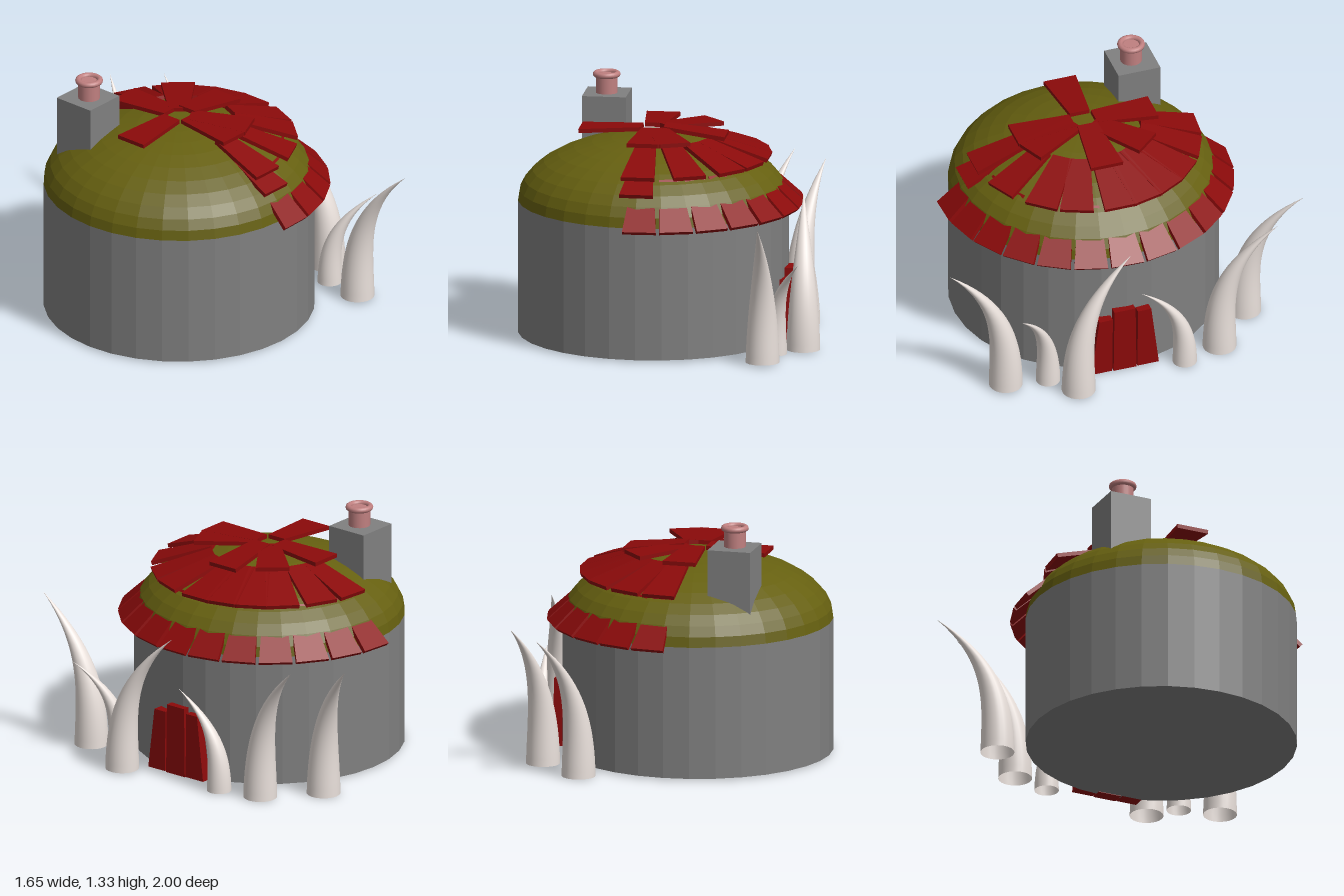
import * as THREE from 'three';

const mat = (color, extra = {}) => new THREE.MeshStandardMaterial({ color, ...extra });

// Wedge-shaped slab: narrow at -x, wide at +x
function slabGeometry(length, thickness, narrow, wide) {
  const g = new THREE.BoxGeometry(length, thickness, wide);
  const p = g.attributes.position;
  for (let i = 0; i < p.count; i++) {
    if (p.getX(i) < 0) p.setZ(i, p.getZ(i) * narrow / wide);
  }
  g.computeVertexNormals();
  return g;
}

// Curved horn: stacked round sections that shrink and lean outwards
function hornGeometry(radius, height, dx, dz) {
  const g = new THREE.CylinderGeometry(1, 1, 1, 24, 20, true);
  const p = g.attributes.position;
  for (let i = 0; i < p.count; i++) {
    const t = p.getY(i) + 0.5;
    const r = radius * Math.max(1 - Math.pow(t, 1.6), 0.01);
    const lean = t * t * t;
    p.setXYZ(i, p.getX(i) * r + dx * lean, t * height, p.getZ(i) * r + dz * lean);
  }
  g.computeVertexNormals();
  // Match the normals along the seam
  const n = g.attributes.normal;
  for (let row = 0; row <= 20; row++) {
    const a = row * 25, b = a + 24;
    const v = new THREE.Vector3().fromBufferAttribute(n, a)
      .add(new THREE.Vector3().fromBufferAttribute(n, b)).normalize();
    n.setXYZ(a, v.x, v.y, v.z);
    n.setXYZ(b, v.x, v.y, v.z);
  }
  return g;
}

export function createModel() {
  const model = new THREE.Group();
  model.name = 'hut';
  const stone = mat(0x808080, { flatShading: true });
  const olive = mat(0x666010, { flatShading: true });
  const red = mat(0x8b0a0a, { flatShading: true });
  const clay = mat(0xc08080);
  const bone = mat(0xe8dfda, { side: THREE.DoubleSide });

  function add(name, geometry, material, x, y, z, parent = model) {
    const m = new THREE.Mesh(geometry, material);
    m.name = name;
    m.position.set(x, y, z);
    parent.add(m);
    return m;
  }

  // Round wall and domed roof
  const cx = -0.11, cz = 0.02, R = 0.72;
  add('wall', new THREE.CylinderGeometry(R, R, 0.715, 32), stone, cx, 0.3725, cz);
  const dome = add('dome', new THREE.SphereGeometry(R, 32, 10, 0, Math.PI * 2, 0, Math.PI / 2), olive, cx, 0.73, cz);
  dome.scale.y = 0.35 / R;

  // Chimney with a rimmed pot
  add('chimney', new THREE.BoxGeometry(0.235, 0.415, 0.235), stone, -0.412, 1.0075, -0.357);
  add('chimneyPot', new THREE.CylinderGeometry(0.058, 0.058, 0.11, 24), clay, -0.412, 1.26, -0.35);
  const rim = add('potRim', new THREE.TorusGeometry(0.058, 0.016, 10, 28), clay, -0.412, 1.315, -0.35);
  rim.rotation.x = Math.PI / 2;

  // Roof tiles: [inner radius, inner y, outer radius, outer y, angles in degrees]
  const rows = [
    [0.06, 1.118, 0.39, 1.105, [180, -90, 90, -42, 66]],
    [0.06, 1.125, 0.39, 1.085, [0]],
    [0.30, 1.075, 0.62, 0.975, [-85, -66, -46, -30, -15, 0, 22, 40, 64, 90]],
    [0.40, 1.01, 0.68, 0.895, [90]],
    [0.54, 0.95, 0.79, 0.72, Array.from({ length: 13 }, (_, i) => -85 + i * 14.4)],
  ];
  const tiles = new THREE.Group();
  tiles.name = 'roofTiles';
  tiles.position.set(cx, 0, cz);
  model.add(tiles);
  for (const [r0, y0, r1, y1, angles] of rows) {
    const g = slabGeometry(Math.hypot(r1 - r0, y1 - y0), 0.022, 0.11, 0.18);
    for (const angle of angles) {
      const arm = new THREE.Group();
      arm.rotation.y = -THREE.MathUtils.degToRad(angle);
      tiles.add(arm);
      const tile = add('roofTile', g, red, (r0 + r1) / 2, (y0 + y1) / 2, 0, arm);
      tile.rotation.z = Math.atan2(y1 - y0, r1 - r0);
    }
  }

  // Door planks: corners as [z, y], extruded along x
  const planks = [
    [[0.23, 0.015], [0.116, 0.015], [0.112, 0.35], [0.188, 0.35]],
    [[0.108, 0.012], [-0.02, 0.012], [-0.015, 0.395], [0.103, 0.395]],
    [[-0.026, 0.015], [-0.145, 0.015], [-0.103, 0.372], [-0.028, 0.372]],
  ];
  for (const corners of planks) {
    const shape = new THREE.Shape(corners.map(([z, y]) => new THREE.Vector2(-z, y)));
    const g = new THREE.ExtrudeGeometry(shape, { depth: 0.07, bevelEnabled: false });
    add('doorPlank', g, red, 0.575, 0, 0).rotation.y = Math.PI / 2;
  }

  // Horns: [base x, base z, tip x, tip z, base radius, base y, tip y]
  const horns = [
    [0.345, -0.725, 0.505, -1.0, 0.09, 0.005, 0.79],
    [0.60, -0.50, 0.70, -0.79, 0.09, 0.005, 0.79],
    [0.675, -0.28, 0.705, -0.03, 0.065, 0.01, 0.53],
    [0.735, 0.335, 0.695, 0.03, 0.09, 0.01, 0.79],
    [0.60, 0.46, 0.75, 0.66, 0.065, 0.01, 0.535],
    [0.565, 0.685, 0.58, 1.0, 0.09, 0.015, 0.80],
  ];
  for (const [bx, bz, tx, tz, r, y0, y1] of horns) {
    add('horn', hornGeometry(r, y1 - y0, tx - bx, tz - bz), bone, bx, y0, bz);
  }

  return model;
}
